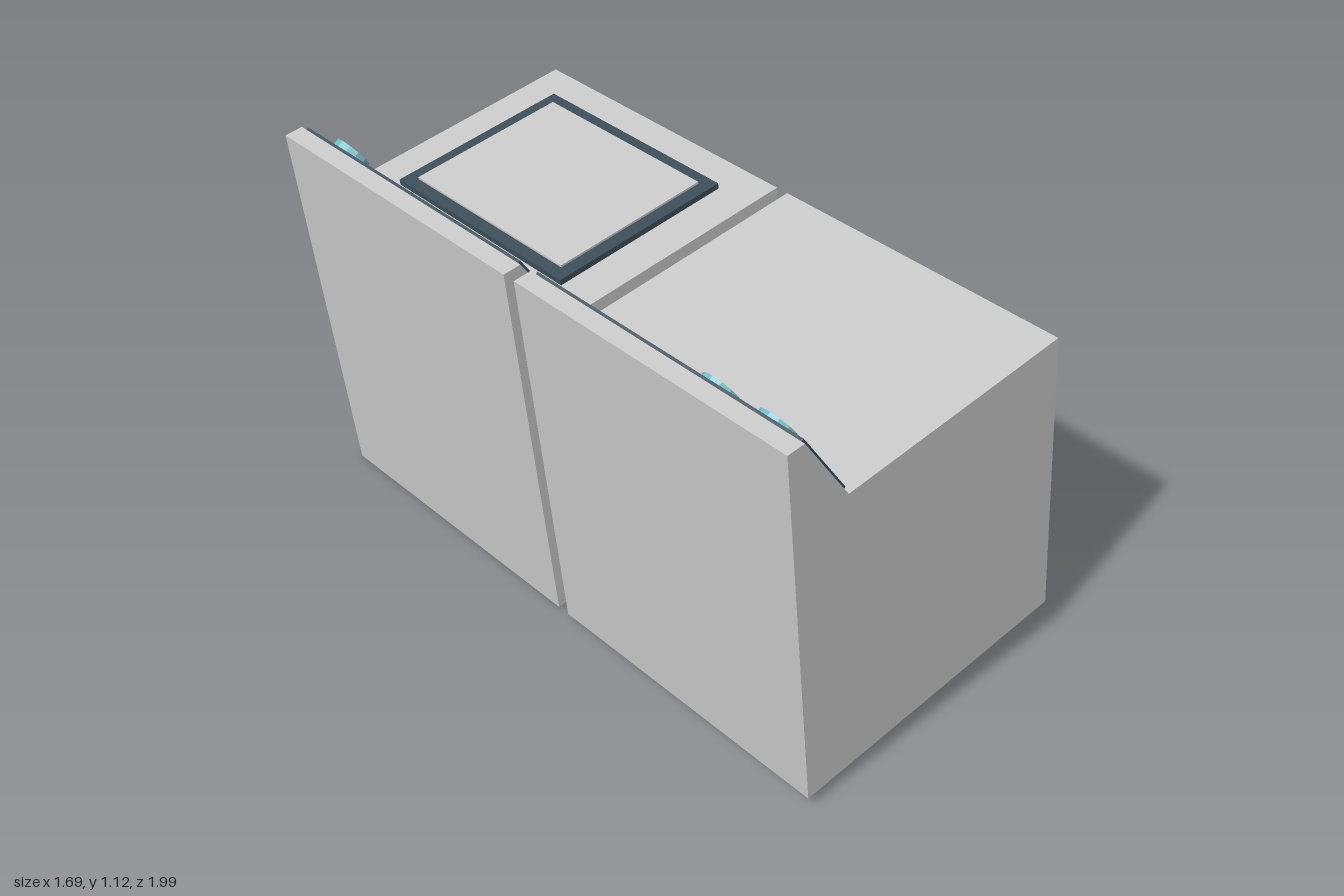
import * as THREE from 'three';

const W = 0.865, H = 0.865, D = 0.86, GAP = 0.036;
const SLOPE = 0.255, TILT = -0.49;

const mat = (color) => new THREE.MeshStandardMaterial({ color, flatShading: true });
const grey = mat(0xcccccc), dark = mat(0x3d4f5a), ringMat = mat(0x69828e);
const glass = mat(0x42545f), knobMat = mat(0x74bcc8), screenMat = mat(0x0c8a78);

function add(parent, name, geometry, material, x, y, z) {
  const mesh = new THREE.Mesh(geometry, material);
  mesh.name = name;
  mesh.position.set(x, y, z);
  parent.add(mesh);
}

// Disc facing +z
function disc(radius, depth, sides, turn = 0) {
  return new THREE.CylinderGeometry(radius, radius, depth, sides).rotateX(Math.PI / 2).rotateZ(turn);
}

// Cabinet with sloped control console; origin at its bottom back corner, front faces +z
function appliance(name) {
  const group = new THREE.Group();
  group.name = name;
  const profile = new THREE.Shape([[0, 0], [D, 0], [D, H], [0.17, H], [0.05, 1.09], [0, 1.09]]
    .map(([f, h]) => new THREE.Vector2(f, h)));
  const body = new THREE.ExtrudeGeometry(profile, { depth: W, bevelEnabled: false });
  body.rotateY(-Math.PI / 2).translate(W, 0, 0);
  add(group, 'cabinet', body, grey, 0, 0, 0);

  // Control panel lying on the slope
  const panel = new THREE.Group();
  panel.name = 'controlPanel';
  panel.position.set(0, 0.978, 0.11);
  panel.rotation.x = TILT;
  add(panel, 'panelPlate', new THREE.BoxGeometry(W - 0.026, SLOPE - 0.012, 0.016), dark, W / 2, 0, 0);
  group.add(panel);
  return { group, panel };
}

const addKnob = (panel, x, y) => add(panel, 'knob', disc(0.051, 0.03, 12), knobMat, x, y, 0.015);

export function createModel() {
  const model = new THREE.Group();
  const pair = new THREE.Group();
  pair.name = 'laundryPair';

  // Washer: two knobs and a round door
  const a = appliance('washer');
  for (const x of [0.165, 0.34]) addKnob(a.panel, x, 0);
  const decagon = (radius) => Array.from({ length: 10 }, (_, i) => {
    const t = (i / 10) * Math.PI * 2;
    return new THREE.Vector2(radius * Math.cos(t), radius * Math.sin(t));
  });
  const ringShape = new THREE.Shape(decagon(0.29));
  ringShape.holes.push(new THREE.Path(decagon(0.234)));
  const ring = new THREE.ExtrudeGeometry(ringShape, { depth: 0.03, bevelEnabled: false });
  add(a.group, 'doorRing', ring, ringMat, W / 2, 0.465, D);
  add(a.group, 'doorGlass', disc(0.234, 0.036, 10, Math.PI / 2), glass, W / 2, 0.465, D + 0.018);

  // Dryer: screen, one knob and a framed lid
  const b = appliance('dryer');
  b.group.position.x = W + GAP;
  add(b.panel, 'screen', new THREE.BoxGeometry(0.4, 0.135, 0.016), screenMat, 0.425, 0, 0.008);
  addKnob(b.panel, 0.75, 0.045);
  add(b.group, 'lidFrame', new THREE.BoxGeometry(0.644, 0.016, 0.528), dark, W / 2, H + 0.008, 0.497);
  add(b.group, 'lid', new THREE.BoxGeometry(0.57, 0.022, 0.46), grey, W / 2, H + 0.011, 0.497);
  pair.add(a.group, b.group);

  // Leaning, turned pose of the pair
  const up = new THREE.Vector3(-0.092, 0.995, 0.029).normalize();
  const side = new THREE.Vector3(-0.472, -0.018, -0.882).normalize();
  const front = side.clone().cross(up).normalize();
  side.crossVectors(up, front);
  pair.quaternion.setFromRotationMatrix(new THREE.Matrix4().makeBasis(side, up, front));
  model.add(pair);

  // Centre and stand on the ground
  model.updateMatrixWorld(true);
  const box = new THREE.Box3().setFromObject(model, true);
  const c = box.getCenter(new THREE.Vector3());
  pair.position.set(-c.x, -box.min.y, -c.z);
  return model;
}
